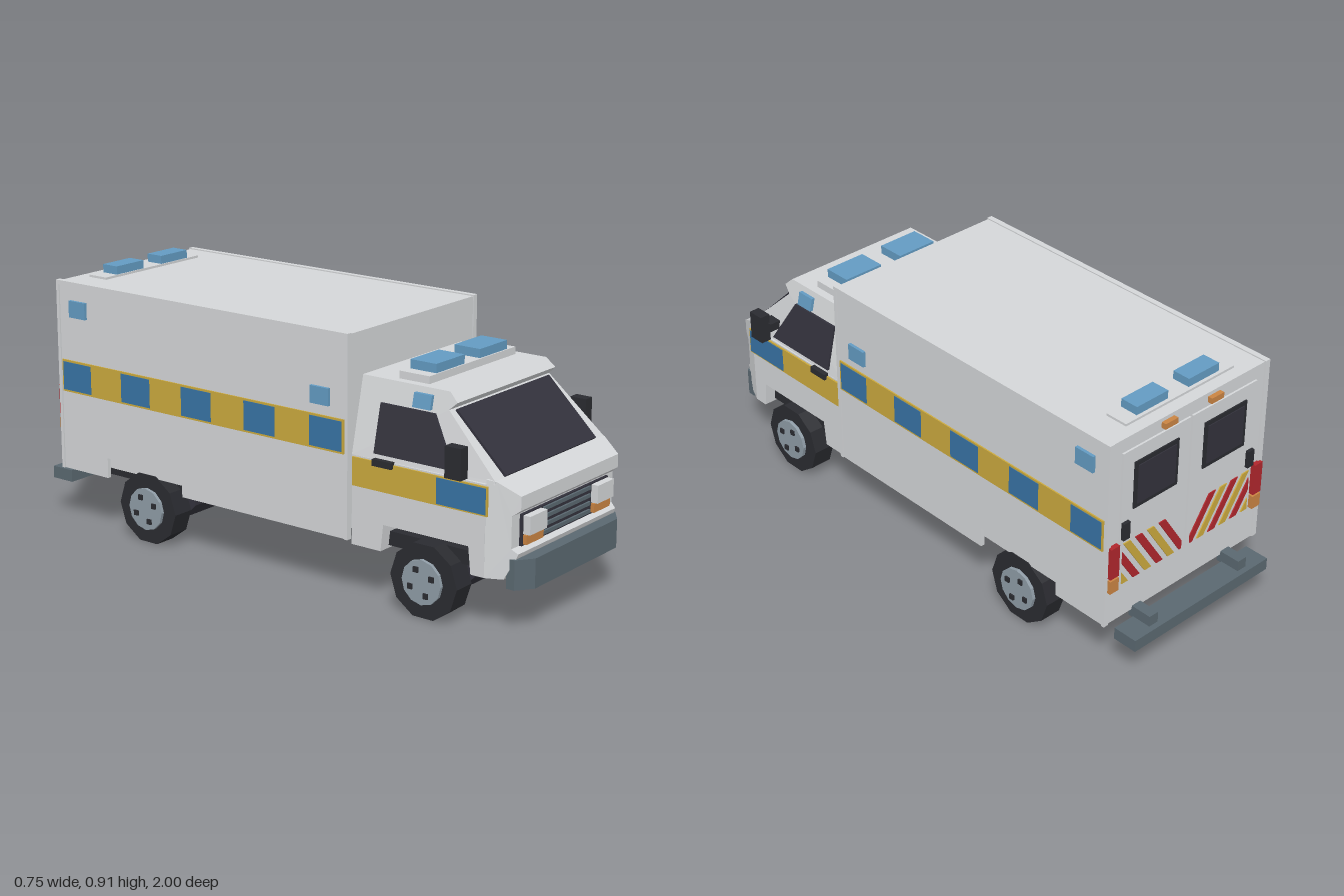
import * as THREE from 'three';

export function createModel() {
  const root = new THREE.Group();
  root.name = 'ambulance';

  const mat = (name, color) => {
    const m = new THREE.MeshStandardMaterial({ color });
    m.name = name;
    return m;
  };
  const white = mat('bodyWhite', 0xd4d6d8);
  const glass = mat('darkGlass', 0x33323c);
  const rubber = mat('tyreBlack', 0x2a2b30);
  const slate = mat('bumperSlate', 0x5a6870);
  const hubGrey = mat('hubGrey', 0x8f9ca6);
  const lampBlue = mat('lampBlue', 0x639bc2);
  const blue = mat('stripeBlue', 0x3873a5);
  const yellow = mat('stripeYellow', 0xcba93e);
  const orange = mat('indicatorOrange', 0xc98443);
  const red = mat('tailRed', 0xb0262c);

  const add = (name, geo, material) => {
    const m = new THREE.Mesh(geo, material);
    m.name = name;
    root.add(m);
    return m;
  };
  // Box given by its limits
  const box = (name, material, x0, x1, y0, y1, z0, z1) => {
    const m = add(name, new THREE.BoxGeometry(Math.abs(x1 - x0), y1 - y0, z1 - z0), material);
    m.position.set((x0 + x1) / 2, (y0 + y1) / 2, (z0 + z1) / 2);
  };
  const both = (fn) => [1, -1].forEach(fn);

  // Side profile of (z, y) points extruded across x, with an optional rule for x
  const prism = (name, material, pts, x0, x1, rule) => {
    const shape = new THREE.Shape(pts.map(([z, y]) => new THREE.Vector2(z, y)));
    const a = Math.min(x0, x1), b = Math.max(x0, x1);
    const g = new THREE.ExtrudeGeometry(shape, { depth: b - a, bevelEnabled: false });
    g.rotateY(-Math.PI / 2);
    g.translate(b, 0, 0);
    if (rule) {
      const p = g.attributes.position;
      for (let i = 0; i < p.count; i++) p.setX(i, rule(p.getX(i), p.getY(i), p.getZ(i)));
      g.computeVertexNormals();
    }
    return add(name, g, material);
  };
  // Cylinder lying along x, flat sided
  const drum = (name, material, r, x0, x1, y, z, sides, turn = 0) => {
    let g = new THREE.CylinderGeometry(r, r, Math.abs(x1 - x0), sides);
    g.rotateY(turn);
    g.rotateZ(Math.PI / 2);
    g = g.toNonIndexed();
    g.computeVertexNormals();
    add(name, g, material).position.set((x0 + x1) / 2, y, z);
  };

  // Half width of the cab: leans in above the waist, narrows at the nose
  const cabHalf = (y, z) => 0.327 - Math.max(0, y - 0.48) * 0.228 - Math.max(0, z - 0.87) * 0.45;
  const cabRule = (x, y, z) => x * cabHalf(y, z);

  // Cab
  prism('cabLower', white, [[0.36, 0.18], [0.475, 0.18], [0.485, 0.27], [0.81, 0.27], [0.82, 0.18],
    [0.87, 0.18], [0.87, 0.48], [0.36, 0.48]], -1, 1, cabRule);
  prism('cabNose', white, [[0.87, 0.18], [0.925, 0.18], [0.96, 0.25], [0.965, 0.265], [0.945, 0.28],
    [0.945, 0.385], [0.97, 0.405], [0.97, 0.45], [0.9, 0.49], [0.87, 0.495]], -1, 1, cabRule);
  prism('cabUpper', white, [[0.36, 0.48], [0.895, 0.48], [0.895, 0.49], [0.7, 0.675], [0.727, 0.7],
    [0.695, 0.73], [0.36, 0.73]], -1, 1, cabRule);
  prism('windscreen', glass, [[0.893, 0.492], [0.899, 0.498], [0.714, 0.676], [0.708, 0.67]], -0.26, 0.26);

  // Cab sides: windows, stripes, handles, mirrors, lamps
  both((s) => {
    const lean = (x, y, z) => x + s * cabHalf(y, z);
    prism('sideWindow', glass, [[0.447, 0.5], [0.745, 0.5], [0.655, 0.657], [0.447, 0.657]], -s * 0.005, s * 0.008, lean);
    prism('cabLamp', lampBlue, [[0.57, 0.665], [0.638, 0.665], [0.638, 0.71], [0.57, 0.71]], -s * 0.005, s * 0.012, lean);
    box('cabStripe', yellow, s * 0.326, s * 0.333, 0.38, 0.475, 0.365, 0.88);
    box('cabStripeBlock', blue, s * 0.327, s * 0.335, 0.385, 0.47, 0.692, 0.875);
    box('doorHandle', rubber, s * 0.325, s * 0.343, 0.463, 0.485, 0.45, 0.525);
    box('mirror', rubber, s * 0.337, s * 0.375, 0.49, 0.592, 0.75, 0.81);
    box('mirrorArm', rubber, s * 0.3, s * 0.345, 0.53, 0.56, 0.735, 0.785);
  });

  // Grille and front lamps
  box('grillePanel', glass, -0.25, 0.25, 0.28, 0.382, 0.93, 0.955);
  for (let i = 0; i < 4; i++) {
    const y = 0.288 + i * 0.026;
    box('grilleSlat', slate, -0.135, 0.135, y, y + 0.012, 0.95, 0.962);
  }
  both((s) => {
    box('headlight', white, s * 0.148, s * 0.244, 0.318, 0.378, 0.94, 0.98);
    box('frontIndicator', orange, s * 0.148, s * 0.244, 0.285, 0.315, 0.94, 0.968);
  });

  // Front bumper from its plan outline
  const plan = [[-0.295, 0.93], [0.295, 0.93], [0.295, 0.96], [0.24, 1], [-0.24, 1], [-0.295, 0.96]];
  const bumper = new THREE.ExtrudeGeometry(
    new THREE.Shape(plan.map(([x, z]) => new THREE.Vector2(x, -z)).reverse()), { depth: 0.098, bevelEnabled: false });
  bumper.rotateX(-Math.PI / 2);
  add('frontBumper', bumper, slate).position.y = 0.15;

  // Rear compartment
  box('compartment', white, -0.337, 0.337, 0.235, 0.873, -0.903, 0.36);
  box('rearSkirt', white, -0.337, 0.337, 0.2, 0.24, -0.903, -0.89);
  both((s) => {
    prism('sidePanel', white, [[-0.903, 0.2], [-0.69, 0.2], [-0.69, 0.272], [-0.345, 0.272], [-0.345, 0.2],
      [0.36, 0.2], [0.36, 0.873], [-0.903, 0.873]], s * 0.335, s * 0.35);
    box('roofRail', white, s * 0.335, s * 0.355, 0.862, 0.877, -0.908, 0.363);
    for (const z of [-0.908, 0.351]) box('cornerPost', white, s * 0.335, s * 0.355, 0.2, 0.877, z, z + 0.012);

    // Side stripe with blocks, and side lamps
    box('sideStripe', yellow, s * 0.349, s * 0.355, 0.483, 0.597, -0.89, 0.347);
    for (let i = 0; i < 5; i++) {
      const z = 0.21 - i * 0.2735;
      box('sideStripeBlock', blue, s * 0.35, s * 0.357, 0.49, 0.59, z, z + 0.13);
    }
    box('sideLampFront', lampBlue, s * 0.345, s * 0.361, 0.632, 0.69, 0.215, 0.29);
    box('sideLampRear', lampBlue, s * 0.345, s * 0.361, 0.753, 0.812, -0.845, -0.77);
  });

  // Roof lamps on their bases
  box('frontLampBase', white, -0.24, 0.24, 0.728, 0.755, 0.48, 0.595);
  box('rearLampBase', white, -0.24, 0.24, 0.87, 0.881, -0.86, -0.78);
  both((s) => {
    box('frontRoofLamp', lampBlue, s * 0.043, s * 0.197, 0.755, 0.785, 0.49, 0.59);
    box('rearRoofLamp', lampBlue, s * 0.046, s * 0.182, 0.881, 0.91, -0.848, -0.783);
  });

  // Slanted stripe trimmed to the door edges x0 and x1
  const trim = (pts, edge, keep) => pts.flatMap((p, i) => {
    const q = pts[(i + 1) % pts.length];
    const inP = (p[0] - edge) * keep >= 0, inQ = (q[0] - edge) * keep >= 0;
    const t = (edge - p[0]) / (q[0] - p[0]);
    const cut = inP !== inQ ? [[edge, p[1] + t * (q[1] - p[1])]] : [];
    return inP ? [p, ...cut] : cut;
  });

  // Rear doors and rear lamps
  both((s) => {
    box('rearDoor', white, s * 0.004, s * 0.298, 0.32, 0.825, -0.91, -0.9);
    box('rearWindowFrame', rubber, s * 0.058, s * 0.25, 0.605, 0.775, -0.915, -0.905);
    box('rearWindow', glass, s * 0.072, s * 0.236, 0.62, 0.76, -0.918, -0.91);
    box('rearDoorHandle', rubber, s * 0.268, s * 0.296, 0.51, 0.572, -0.922, -0.905);
    box('tailLamp', red, s * 0.308, s * 0.345, 0.385, 0.5, -0.92, -0.9);
    box('rearIndicator', orange, s * 0.308, s * 0.345, 0.33, 0.378, -0.92, -0.9);
    box('topMarker', orange, s * 0.075, s * 0.13, 0.84, 0.86, -0.92, -0.9);
    for (let i = 0; i < 7; i++) {
      const x = 0.0 + i * 0.052;
      let pts = [[x, 0.338], [x + 0.03, 0.338], [x + 0.13, 0.49], [x + 0.1, 0.49]];
      pts = trim(trim(pts, 0.02, 1), 0.288, -1);
      if (pts.length < 3) continue;
      const shape = new THREE.Shape(pts.map(([px, py]) => new THREE.Vector2(px * s, py)));
      const g = new THREE.ExtrudeGeometry(shape, { depth: 0.005, bevelEnabled: false });
      add('warningStripe', g, i % 2 ? yellow : red).position.z = -0.914;
    }
  });

  // Rear step bumper
  box('rearBumper', slate, -0.308, 0.308, 0.132, 0.175, -1, -0.91);
  both((s) => box('bumperBracket', slate, s * 0.187, s * 0.225, 0.17, 0.213, -0.98, -0.89));

  // Chassis
  both((s) => box('chassisRail', rubber, s * 0.2, s * 0.285, 0.19, 0.238, -0.85, 0.83));
  for (const z of [0.3, -0.05, -0.33, -0.84]) box('crossMember', rubber, -0.2, 0.2, 0.195, 0.238, z - 0.03, z + 0.03);

  // Axles and wheels
  for (const z of [0.652, -0.515]) {
    drum('axleHousing', glass, 0.103, -0.2, 0.2, 0.155, z, 8, Math.PI / 8);
    drum('axle', rubber, 0.025, -0.28, 0.28, 0.123, z, 8);
    both((s) => {
      drum('tyre', rubber, 0.128, s * 0.26, s * 0.34, 0.122, z, 10);
      drum('hub', hubGrey, 0.075, s * 0.33, s * 0.352, 0.122, z, 12);
      for (let i = 0; i < 4; i++) {
        const a = Math.PI * (0.14 + i / 2);
        const y = 0.122 + Math.sin(a) * 0.045, zz = z + Math.cos(a) * 0.045;
        box('wheelNut', rubber, s * 0.345, s * 0.358, y - 0.009, y + 0.009, zz - 0.009, zz + 0.009);
      }
    });
  }

  return root;
}
